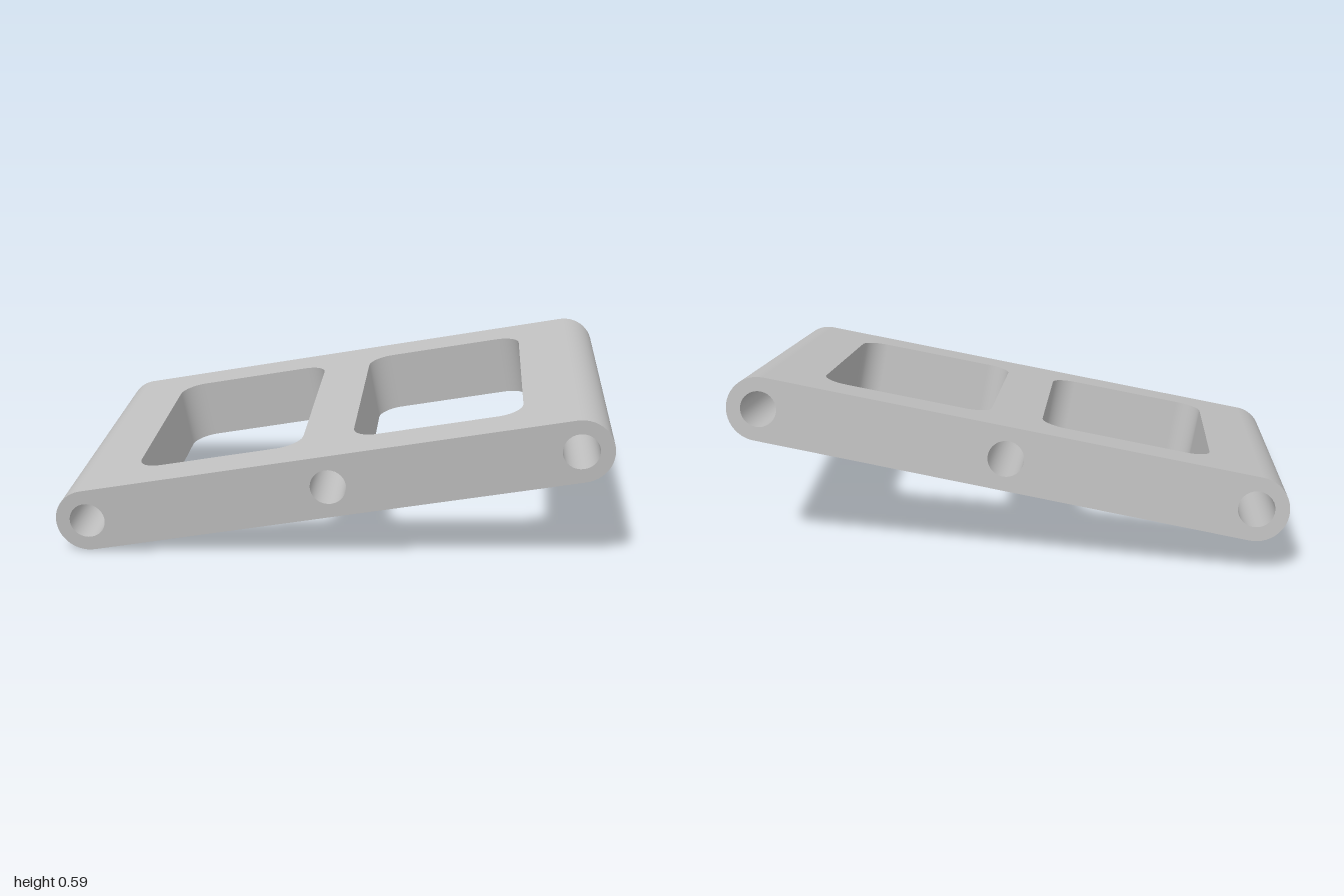
import * as THREE from 'three';

const REACH = 0.772;   // half distance between the rounded ends' axes
const R = 0.1;         // end radius = half thickness
const HALF = 0.529;    // half depth
const BORE = 0.056;

// Arc samples, each with position and outward normal
function arc(cx, cy, r, from, to, steps) {
  return Array.from({ length: steps + 1 }, (_, i) => {
    const a = from + (to - from) * i / steps;
    const n = new THREE.Vector2(Math.cos(a), Math.sin(a));
    return { p: new THREE.Vector2(cx + r * n.x, cy + r * n.y), n };
  });
}

// Counter-clockwise closed rounded rectangle
function roundedLoop(x0, x1, y0, y1, r) {
  const q = Math.PI / 2;
  const loop = [[x1 - r, y1 - r], [x0 + r, y1 - r], [x0 + r, y0 + r], [x1 - r, y0 + r]]
    .flatMap(([x, y], i) => arc(x, y, r, i * q, (i + 1) * q, 10));
  return [...loop, loop[0]];
}

// Ribbon swept along z, facing outward (side 1) or inward (side -1)
function wall(loop, half, side) {
  const pos = [], nor = [], idx = [];
  loop.forEach(({ p, n }, i) => {
    for (const z of [-half, half]) {
      pos.push(p.x, p.y, z);
      nor.push(n.x * side, n.y * side, 0);
    }
    if (i === 0) return;
    const a = 2 * i - 2, b = a + 1, c = a + 2, d = a + 3;
    if (side > 0) idx.push(a, c, d, a, d, b);
    else idx.push(a, d, c, a, b, d);
  });
  const g = new THREE.BufferGeometry();
  g.setAttribute('position', new THREE.Float32BufferAttribute(pos, 3));
  g.setAttribute('normal', new THREE.Float32BufferAttribute(nor, 3));
  g.setIndex(idx);
  return g;
}

// Flat face with openings
function face(outline, openings) {
  const shape = new THREE.Shape(outline.map(s => s.p));
  shape.holes = openings.map(o => new THREE.Path(o.map(s => s.p)));
  return new THREE.ShapeGeometry(shape);
}

export function createModel() {
  const grey = new THREE.MeshStandardMaterial({ color: 0xbfbfbf });
  grey.name = 'metal grey';
  const block = new THREE.Group();
  block.name = 'frameBlock';
  const add = (name, geometry) => {
    const mesh = new THREE.Mesh(geometry, grey);
    mesh.name = name;
    block.add(mesh);
  };
  const q = Math.PI / 2;

  const windows = [[-0.618, -0.082], [0.082, 0.618]]
    .map(([a, b]) => roundedLoop(a, b, -0.397, 0.397, 0.08));
  const bores = [-REACH, 0, REACH].map(x => arc(x, 0, BORE, 0, 4 * q, 32));
  const rightEnd = arc(REACH, 0, R, -q, q, 24);
  const leftEnd = arc(-REACH, 0, R, q, 3 * q, 24);

  // Broad faces with two windows
  const plate = [[-REACH, -HALF], [REACH, -HALF], [REACH, HALF], [-REACH, HALF]]
    .map(([x, y]) => ({ p: new THREE.Vector2(x, y) }));
  add('topFace', face(plate, windows).rotateX(-q).translate(0, R, 0));
  add('bottomFace', face(plate, windows).rotateX(q).translate(0, -R, 0));
  windows.forEach(w => add('windowWall', wall(w, R, -1).rotateX(-q)));

  // Stadium-shaped faces with three through bores
  const stadium = [...rightEnd, ...leftEnd];
  add('frontFace', face(stadium, bores).translate(0, 0, HALF));
  add('backFace', face(stadium, bores).rotateY(Math.PI).translate(0, 0, -HALF));
  bores.forEach(b => add('boreWall', wall(b, HALF, -1)));

  // Rounded long edges
  add('leftRoundedEdge', wall(rightEnd, HALF, 1));
  add('rightRoundedEdge', wall(leftEnd, HALF, 1));

  // Tilted resting pose
  const along = new THREE.Vector3(0.803, 0.175, 0.569).normalize();
  const up = new THREE.Vector3(-0.208, 0.9775, -0.007);
  const out = new THREE.Vector3().crossVectors(along, up).normalize();
  up.crossVectors(out, along);
  block.quaternion.setFromRotationMatrix(new THREE.Matrix4().makeBasis(along, up, out));
  block.position.y = 0.295;

  const model = new THREE.Group();
  model.name = 'windowedBlock';
  model.add(block);
  return model;
}
